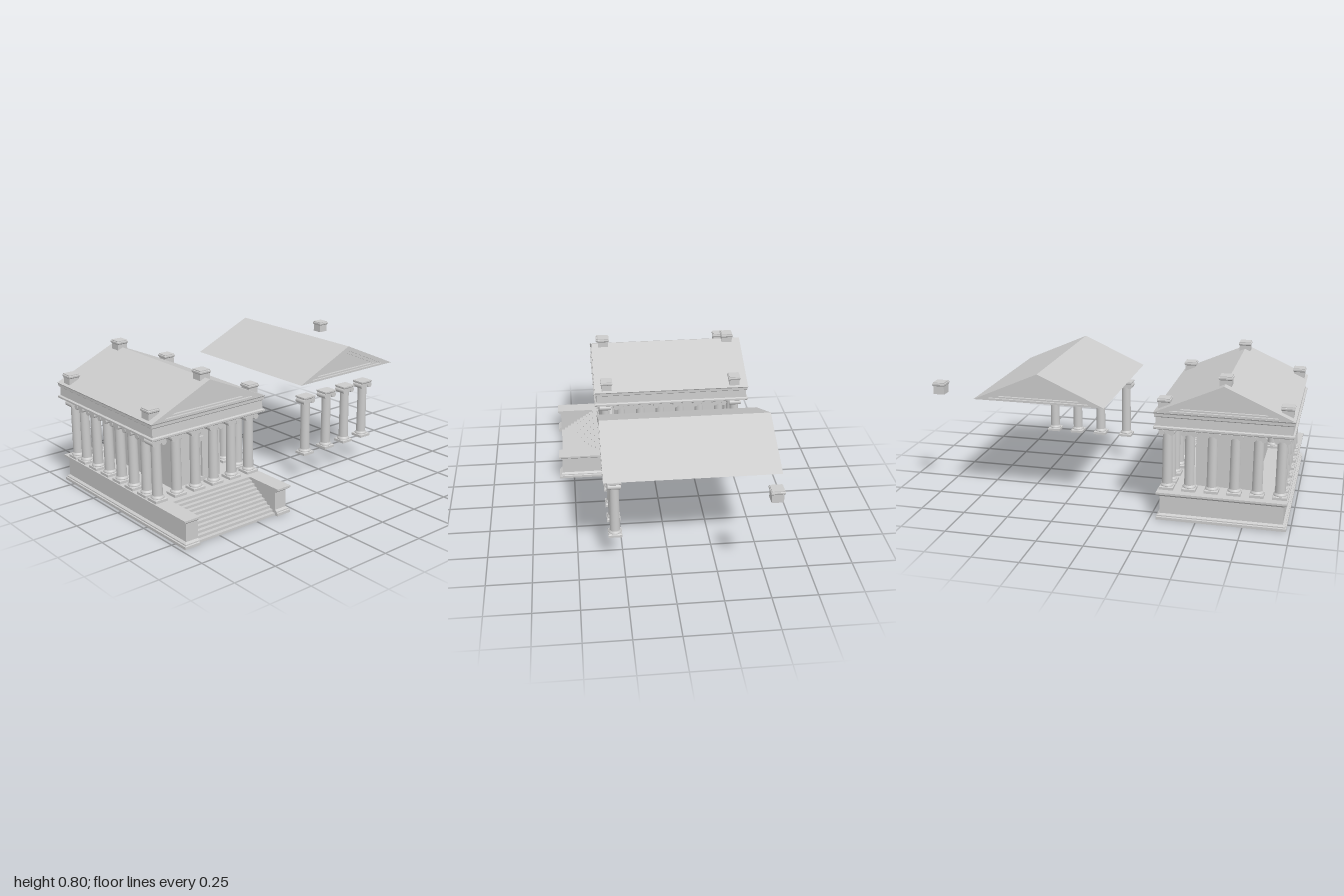
import * as THREE from 'three';

const material = new THREE.MeshStandardMaterial({ color: 0xcccccc });
const CX = -0.632; // temple centre line

function add(parent, name, geometry, x = 0, y = 0, z = 0) {
  const mesh = new THREE.Mesh(geometry, material);
  mesh.name = name;
  mesh.position.set(x, y, z);
  parent.add(mesh);
  return mesh;
}

const rect = (w, d) => (inset) => {
  const x = w / 2 - inset, z = d / 2 - inset;
  return [[-x, z], [x, z], [x, -z], [-x, -z]];
};

// Stacks an outline (counter-clockwise from above) through [inset, y] levels
function loft(outline, profile) {
  const rings = profile.map(([inset, y]) => outline(inset).map(([x, z]) => [x, y, z]));
  const pos = [];
  const n = rings[0].length;
  for (let k = 0; k < rings.length - 1; k++) {
    for (let i = 0; i < n; i++) {
      const j = (i + 1) % n;
      const a = rings[k][i], b = rings[k][j], c = rings[k + 1][j], d = rings[k + 1][i];
      pos.push(...a, ...b, ...c, ...a, ...c, ...d);
    }
  }
  const bottom = rings[0], top = rings[rings.length - 1];
  const faces = THREE.ShapeUtils.triangulateShape(top.map((p) => new THREE.Vector2(p[0], -p[2])), []);
  for (const [a, b, c] of faces) {
    pos.push(...top[a], ...top[b], ...top[c], ...bottom[a], ...bottom[c], ...bottom[b]);
  }
  const g = new THREE.BufferGeometry();
  g.setAttribute('position', new THREE.Float32BufferAttribute(pos, 3));
  g.computeVertexNormals();
  return g;
}

// Column with square plinth, rounded base, tapered shaft and scrolled capital
const plinthGeo = loft(rect(0.076, 0.076), [[0, 0], [0, 0.014], [0.006, 0.018]]);
const torusGeo = new THREE.LatheGeometry(
  [[0.034, 0.016], [0.036, 0.02], [0.034, 0.025], [0.03, 0.028], [0.027, 0.034]].map(([r, y]) => new THREE.Vector2(r, y)), 20);
const shaftGeo = new THREE.CylinderGeometry(0.026, 0.028, 0.3, 20, 1, true);
const scrollGeo = new THREE.CylinderGeometry(0.016, 0.016, 0.07, 14).rotateX(Math.PI / 2);
const cushionGeo = new THREE.BoxGeometry(0.066, 0.022, 0.064);
const abacusGeo = loft(rect(0.085, 0.076), [[0.006, 0], [0, 0.006], [0, 0.014]]);

function column(parent, name, x, z, turned = false) {
  const g = new THREE.Group();
  g.name = name;
  g.position.set(x, 0.155, z);
  if (turned) g.rotation.y = Math.PI / 2;
  add(g, 'plinth', plinthGeo);
  add(g, 'base', torusGeo);
  add(g, 'shaft', shaftGeo, 0, 0.175, 0);
  add(g, 'cushion', cushionGeo, 0, 0.328, 0);
  for (const s of [-1, 1]) add(g, 'scroll', scrollGeo, s * 0.028, 0.324, 0);
  add(g, 'abacus', abacusGeo, 0, 0.337, 0);
  parent.add(g);
}

// Gabled roof with stepped, recessed pediments at both ends
function triangle(half, y0, y1, Type = THREE.Shape) {
  const t = new Type();
  t.moveTo(-half, y0);
  t.lineTo(half, y0);
  t.lineTo(0, y1);
  t.closePath();
  return t;
}

function roof(parent, name, x) {
  const g = new THREE.Group();
  g.name = name;
  g.position.set(x, 0.597, 0);
  const slab = (part, hole, z0, z1) => {
    const s = triangle(0.368, 0, 0.163);
    if (hole) s.holes.push(triangle(...hole, THREE.Path));
    add(g, part, new THREE.ExtrudeGeometry(s, { depth: z1 - z0, bevelEnabled: false }), 0, 0, z0);
  };
  const outer = [0.285, 0.011, 0.137], inner = [0.23, 0.019, 0.12];
  const zb = -0.577, zf = 0.355;
  slab('roofBody', null, zb + 0.03, zf - 0.03);
  slab('frontInnerFrame', inner, zf - 0.03, zf - 0.014);
  slab('frontOuterFrame', outer, zf - 0.014, zf);
  slab('backInnerFrame', inner, zb + 0.014, zb + 0.03);
  slab('backOuterFrame', outer, zb, zb + 0.014);
  parent.add(g);
}

// Small capped block for the roof corners and ridge
const blockGeo = loft(rect(0.072, 0.072),
  [[0.005, 0], [0.005, 0.046], [0, 0.052], [0, 0.06], [0.004, 0.062], [0.004, 0.067]]);

export function createModel() {
  const model = new THREE.Group();
  const temple = new THREE.Group();
  temple.name = 'temple';
  model.add(temple);

  // Moulded podium with a bay cut into its front for the stairs
  const podium = (i) => [
    [-0.348 + i, 0.59 - i], [-0.256, 0.59 - i], [-0.256, 0.36], [0.256, 0.36],
    [0.256, 0.59 - i], [0.348 - i, 0.59 - i], [0.348 - i, -0.59 + i], [-0.348 + i, -0.59 + i],
  ];
  add(temple, 'podium', loft(podium,
    [[0, 0], [0, 0.015], [0.006, 0.018], [0.006, 0.024], [0.019, 0.032], [0.019, 0.13], [0.004, 0.142], [0, 0.144], [0, 0.155]]), CX);

  // Stairs
  const steps = 10, run = 0.21 / steps, rise = 0.155 / (steps + 1);
  for (let i = 0; i < steps; i++) {
    const h = rise * (steps - i);
    add(temple, 'step', new THREE.BoxGeometry(0.512, h, run), CX, h / 2, 0.36 + run * (i + 0.5));
  }

  // Inner chamber with a framed door
  add(temple, 'chamber', new THREE.BoxGeometry(0.32, 0.355, 0.66), CX, 0.3325, -0.108);
  for (const s of [-1, 1]) {
    add(temple, 'doorJamb', new THREE.BoxGeometry(0.012, 0.23, 0.014), CX + s * 0.036, 0.27, 0.228);
  }
  add(temple, 'doorLintel', new THREE.BoxGeometry(0.084, 0.025, 0.018), CX, 0.397, 0.229);
  add(temple, 'doorSill', new THREE.BoxGeometry(0.084, 0.025, 0.018), CX, 0.167, 0.229);

  // Colonnade: six across each end, six more along each side
  const zFront = 0.292, zBack = -0.506;
  for (let i = 0; i < 6; i++) {
    const x = CX + (i - 2.5) * 0.121;
    column(temple, 'frontColumn', x, zFront);
    column(temple, 'backColumn', x, zBack);
    for (const s of [-1, 1]) column(temple, 'sideColumn', CX + s * 0.3025, 0.197 - i * 0.121, true);
  }

  // Entablature: architrave ledge, frieze and cornice
  add(temple, 'entablature', loft(rect(0.736, 0.936),
    [[0.008, 0.504], [0, 0.509], [0, 0.519], [0.01, 0.524], [0.012, 0.57], [0.004, 0.576], [0.004, 0.59], [0, 0.597]]),
  CX, 0, -0.111);
  roof(temple, 'templeRoof', CX);

  // Roof blocks on the corners and the ridge
  for (const z of [0.282, -0.495]) {
    for (const s of [-1, 1]) add(temple, 'cornerBlock', blockGeo, CX + s * 0.322, 0.593, z);
    add(temple, 'ridgeBlock', blockGeo, CX, 0.733, z);
  }

  // Detached spare parts beside the temple
  roof(model, 'spareRoof', 0.369);
  for (const x of [0.095, 0.26, 0.41, 0.56]) column(model, 'spareColumn', x, zFront);
  add(model, 'spareBlock', blockGeo, 0.962, 0.593, -0.495);

  return model;
}
